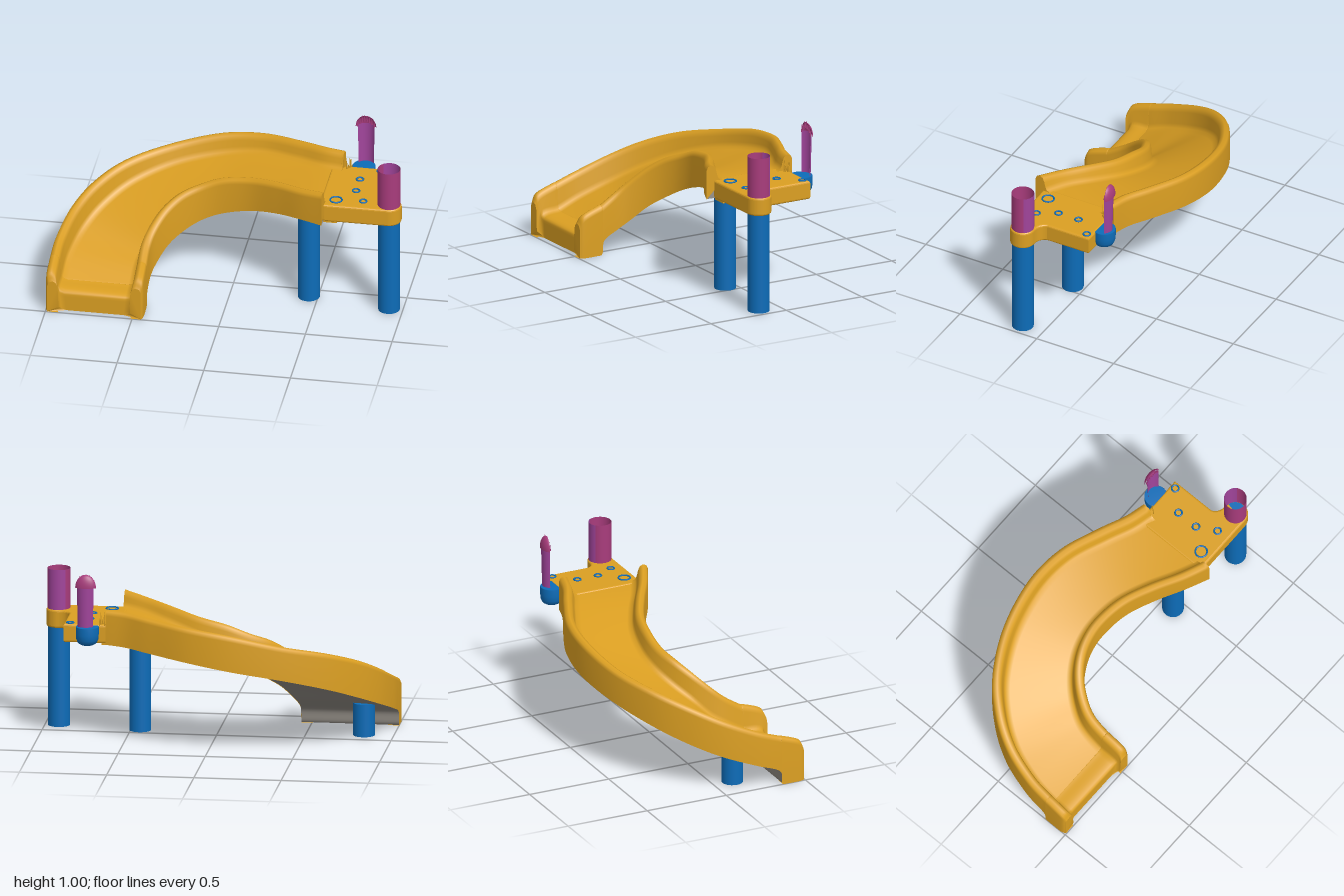
import * as THREE from 'three';

const mat = (name, color) => {
  const m = new THREE.MeshStandardMaterial({ color, side: THREE.DoubleSide });
  m.name = name;
  return m;
};

// Smooth sheet through rows of points
function sheet(rows, flip = false) {
  const n = rows[0].length, index = [];
  const pos = rows.flat().flatMap((p) => [p.x, p.y, p.z]);
  for (let i = 0; i < rows.length - 1; i++) {
    for (let j = 0; j < n - 1; j++) {
      const a = i * n + j, b = a + 1, c = a + n, d = c + 1;
      index.push(...(flip ? [a, c, b, b, c, d] : [a, b, c, b, d, c]));
    }
  }
  const g = new THREE.BufferGeometry();
  g.setAttribute('position', new THREE.Float32BufferAttribute(pos, 3));
  g.setIndex(index);
  g.computeVertexNormals();
  return g;
}

export function createModel() {
  const model = new THREE.Group();
  model.name = 'curvedSlide';
  const gold = mat('golden yellow', 0xdb9f22);
  const blue = mat('blue', 0x0d6cb8);
  const grey = mat('warm grey', 0x8a857e);
  const magenta = mat('magenta', 0xa83c7c);
  const violet = mat('violet', 0xa0449a);
  const add = (name, geometry, material, x = 0, y = 0, z = 0) => {
    const m = new THREE.Mesh(geometry, material);
    m.name = name;
    m.position.set(x, y, z);
    model.add(m);
    return m;
  };

  // Wall feet and rim heights from the exit up to the platform: x, z, foot, rim
  const outer = [
    [-.99, .497, 0, .2], [-1, .465, 0, .25], [-1, .36, 0, .29], [-1, .34, .085, .295],
    [-.99, .2, .14, .345], [-.94, .01, .21, .425], [-.84, -.16, .285, .505],
    [-.68, -.315, .365, .575], [-.435, -.44, .44, .635], [-.15, -.497, .495, .7],
    [.1, -.475, .535, .735], [.33, -.385, .56, .76], [.48, -.315, .575, .775], [.6, -.28, .58, .78],
  ];
  const inner = [
    [-.45, .497, 0, .2], [-.44, .465, 0, .25], [-.44, .36, 0, .29], [-.44, .34, .085, .295],
    [-.437, .25, .14, .355], [-.415, .18, .19, .42], [-.36, .1, .27, .5],
    [-.28, .035, .335, .565], [-.18, -.005, .395, .61], [-.06, -.012, .445, .66],
    [.1, .02, .495, .695], [.26, .1, .54, .73], [.41, .19, .57, .755], [.55, .258, .58, .78],
  ];
  const floors = [.002, .115, .135, .142, .2, .265, .355, .435, .507, .565, .615, .65, .673, .685];
  const spline = (pts) => new THREE.CatmullRomCurve3(pts, false, 'catmullrom', .5);
  const foot = (side) => spline(side.map((s) => new THREE.Vector3(s[0], s[2], s[1])));
  const outerFoot = foot(outer), innerFoot = foot(inner);
  const heights = spline(floors.map((f, i) => new THREE.Vector3(outer[i][3], inner[i][3], f)));

  // Sweep the trough section along both walls; the floor stops short of the wall ends
  const trough = [], underside = [], feet = [[], []], steps = 13 * 7, lip = .468;
  for (let i = 0; i <= steps; i++) {
    const t = i / steps;
    const o = outerFoot.getPoint(t), n = innerFoot.getPoint(t), h = heights.getPoint(t);
    const across = new THREE.Vector3(n.x - o.x, 0, n.z - o.z).normalize();
    const point = (p, d, y, zMax = 1) => {
      const v = new THREE.Vector3(p.x, Math.max(0, y), p.z).addScaledVector(across, d);
      v.z = Math.min(v.z, zMax);
      return v;
    };
    const wall = (p, top, sign) => {
      const floor = h.z + p.y - (o.y + n.y) / 2;
      const at = (d, y, zMax) => point(p, sign * d, y, zMax);
      return [
        at(0, p.y), at(0, top - .03), at(.009, top - .009), at(.03, top), at(.05, top - .01),
        at(.06, top - .035), at(.066, floor + .035), at(.076, floor + .01, lip), at(.105, floor, lip),
      ];
    };
    trough.push([...wall(o, h.x, 1), ...wall(n, h.y, -1).reverse()]);
    underside.push([point(o, 0, o.y + .003, lip), point(n, 0, n.y + .003, lip)]);
    if (i <= 14) {
      feet[0].push([point(o, 0, 0), point(o, .066, 0)]);
      feet[1].push([point(n, -.066, 0), point(n, 0, 0)]);
    }
  }
  add('slideTrough', sheet(trough), gold);
  add('slideUnderside', sheet(underside, true), grey);
  feet.forEach((rows) => add('slideWallFoot', sheet(rows, true), gold));

  // Flat ends of the two walls
  [[trough[0], true], [trough[steps], false]].forEach(([s, flip]) => {
    for (const [part, hub] of [[s.slice(0, 9), s[0]], [s.slice(9), s[17]]]) {
      add('slideWallEnd', sheet([part, part.map(() => hub)], flip), gold);
    }
  });

  // Platform, widened around the tall post, with a lower lip under the slide joint
  const plan = new THREE.Shape();
  plan.moveTo(.54, -.2);
  plan.lineTo(.565, -.24);
  plan.lineTo(.833, -.24);
  plan.lineTo(.833, .02);
  plan.quadraticCurveTo(.85, .075, .92, .075);
  plan.absarc(.92, .135, .06, -Math.PI / 2, Math.PI / 2, false);
  plan.lineTo(.56, .197);
  plan.quadraticCurveTo(.54, .197, .54, .17);
  plan.closePath();
  const deck = new THREE.ExtrudeGeometry(plan, {
    depth: .083, bevelThickness: .012, bevelSize: .012, bevelSegments: 3, curveSegments: 16,
  });
  deck.rotateX(Math.PI / 2);
  add('platform', deck, gold, 0, .675, 0);
  add('platformLip', new THREE.BoxGeometry(.09, .035, .43), gold, .583, .585, -.02);

  // Ring studs on the platform: x, z, radius
  for (const [x, z, r] of [[.615, .14, .034], [.77, .13, .02], [.71, .02, .02], [.71, -.11, .02], [.81, -.22, .02]]) {
    const ring = new THREE.TorusGeometry(r, .005, 6, 20);
    ring.rotateX(Math.PI / 2);
    add('platformRing', ring, blue, x, .689, z);
  }

  // Support posts: x, z, height
  for (const [x, z, h] of [[.92, .135, .6], [.447, .073, .6], [-.83, .12, .19]]) {
    add('supportPost', new THREE.CylinderGeometry(.0625, .0625, h, 24), blue, x, h / 2, z);
  }

  // Open tube above the tall post, with a violet back and a half plate inside
  const arc = 1.7, back = Math.PI - 1;
  const tubePart = (start, length) => new THREE.CylinderGeometry(.065, .065, .235, 24, 1, true, start, length);
  add('tubeFront', tubePart(back + arc, Math.PI * 2 - arc), magenta, .92, .8025, .135);
  add('tubeBack', tubePart(back, arc), violet, .92, .8025, .135);
  const plate = new THREE.CircleGeometry(.063, 16, -Math.PI / 2 - .2, Math.PI);
  plate.rotateX(-Math.PI / 2);
  add('tubePlate', plate, blue, .92, .691, .135);

  // Rounded cup behind the platform
  const cup = [[0, .575], [.034, .577], [.053, .588], [.063, .61], [.066, .64], [.066, .681], [.064, .684], [0, .684]];
  add('poleCup', new THREE.LatheGeometry(cup.map((p) => new THREE.Vector2(...p)), 24), blue, .705, 0, -.275);

  // Curved pole shell with a shallow domed cap
  add('pole', new THREE.CylinderGeometry(.056, .05, .245, 14, 1, true, Math.PI - 1.05, 2.1), violet, .713, .81, -.276);
  const dome = new THREE.SphereGeometry(1, 16, 8, Math.PI * 1.5 - 1.3, 2.6, 0, Math.PI / 2);
  dome.scale(.062, .075, .034);
  add('poleCap', dome, magenta, .71, .918, -.302);
  for (let i = 0; i < 8; i++) {
    const a = (i - 3.5) / 3.5;
    add('capTuft', new THREE.ConeGeometry(.006, .045, 4), magenta, .71 + a * .048, .98 - a * a * .035, -.306);
  }

  // Thin bristles where the outer wall meets the platform
  for (let i = 0; i < 10; i++) {
    const h = .06 + .015 * (i % 3);
    add('bristle', new THREE.ConeGeometry(.004, h, 4), gold, .585 + i * .006, .68 + h / 2, -.215 - (i % 5) * .008);
  }
  return model;
}
